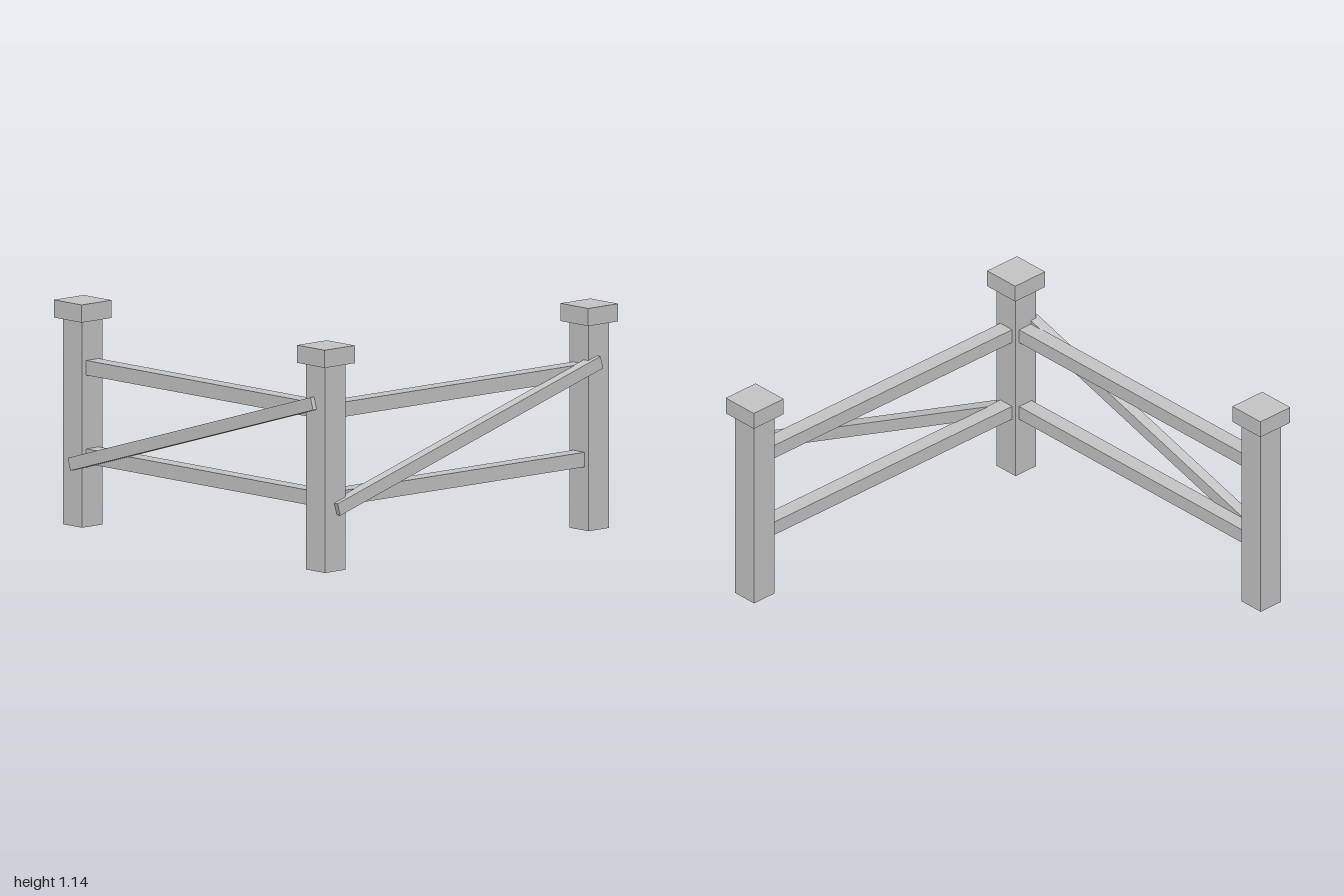
import * as THREE from 'three';

const grey = new THREE.MeshStandardMaterial({ color: 0xc6c6c6 });
grey.name = 'paleGrey';

const POST = 0.897; // distance of post centres from the middle

function box(name, w, h, d, x, y, z) {
  const mesh = new THREE.Mesh(new THREE.BoxGeometry(w, h, d), grey);
  mesh.name = name;
  mesh.position.set(x, y, z);
  return mesh;
}

// Square post with a wider flat cap
function makePost(name, x, z) {
  const post = new THREE.Group();
  post.name = name;
  post.position.set(x, 0, z);
  post.add(box('postShaft', 0.14, 1.05, 0.14, 0, 0.525, 0));
  post.add(box('postCap', 0.205, 0.09, 0.205, 0, 1.095, 0));
  return post;
}

// Two rails and a diagonal brace on the outer face, running along x
function makePanel(name) {
  const panel = new THREE.Group();
  panel.name = name;
  panel.add(box('lowerRail', 1.76, 0.075, 0.086, 0, 0.36, 0.895));
  panel.add(box('upperRail', 1.76, 0.075, 0.086, 0, 0.809, 0.895));
  const brace = box('diagonalBrace', 1.87, 0.065, 0.06, 0, 0.585, 0.962);
  brace.rotation.z = Math.atan2(0.3, 1);
  panel.add(brace);
  return panel;
}

export function createModel() {
  const fence = new THREE.Group();
  fence.name = 'cornerFence';

  fence.add(makePost('endPostRight', -POST, POST));
  fence.add(makePost('cornerPost', POST, POST));
  fence.add(makePost('endPostBack', POST, -POST));

  // The side panel is the front one turned a quarter about the centre
  const side = makePanel('sidePanel');
  side.rotation.y = Math.PI / 2;
  fence.add(makePanel('frontPanel'), side);
  return fence;
}
